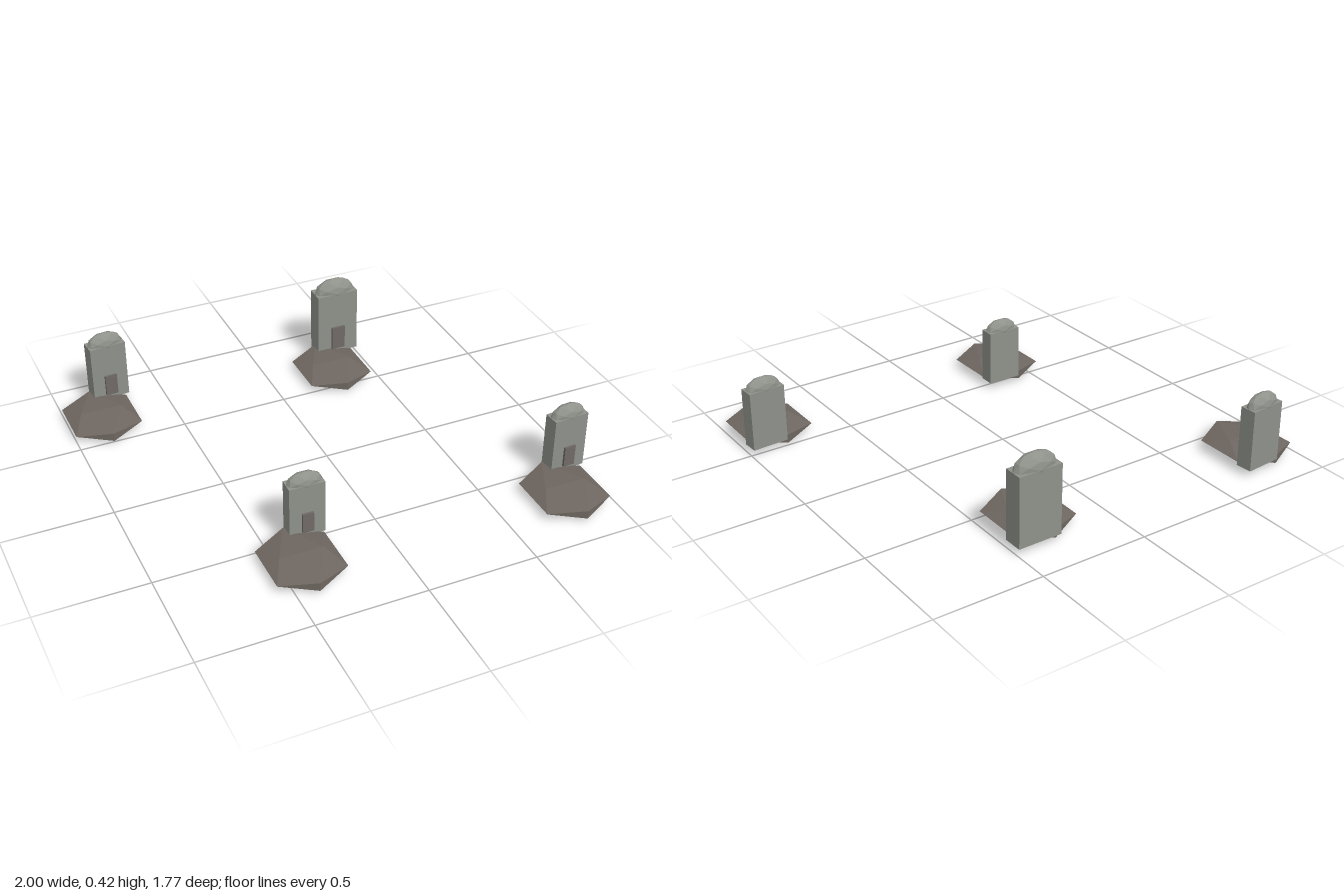
import * as THREE from 'three';

const flat = (name, color) => {
  const m = new THREE.MeshStandardMaterial({ color, flatShading: true });
  m.name = name;
  return m;
};

export function createModel() {
  const stone = flat('weathered stone', 0x8e928a);
  const earth = flat('packed earth', 0x6f6761);
  const plate = flat('dark plaque', 0x706a66);

  const part = (name, geometry, material, parent, x, y, z) => {
    const mesh = new THREE.Mesh(geometry, material);
    mesh.name = name;
    mesh.position.set(x, y, z);
    parent.add(mesh);
    return mesh;
  };

  // mound centre, stone centre, stone width / depth / top, cap rise, yaw, plaque width / top
  const graves = [
    { mound: [-0.843, -0.68], at: [-0.755, -0.845], w: 0.173, d: 0.076, top: 0.315, rise: 0.056, yaw: 0.09, pw: 0.058, pt: 0.16 },
    { mound: [0.306, -0.625], at: [0.394, -0.789], w: 0.206, d: 0.09, top: 0.355, rise: 0.066, yaw: 0.005, pw: 0.067, pt: 0.175 },
    { mound: [-0.405, 0.645], at: [-0.319, 0.481], w: 0.161, d: 0.07, top: 0.288, rise: 0.05, yaw: -0.02, pw: 0.051, pt: 0.152 },
    { mound: [0.82, 0.69], at: [0.91, 0.525], w: 0.169, d: 0.074, top: 0.305, rise: 0.052, yaw: 0.06, pw: 0.055, pt: 0.156 },
  ];

  const base = 0.032, plaqueBase = 0.057;
  const root = new THREE.Group();
  root.name = 'graves';

  for (const g of graves) {
    const grave = new THREE.Group();
    grave.name = 'grave';
    root.add(grave);

    // low faceted earth mound
    part('mound', new THREE.IcosahedronGeometry(1, 0).scale(0.1845, 0.0382, 0.2262),
      earth, grave, g.mound[0], 0.0325, g.mound[1]);

    // upright stone with a rounded cap and a raised plaque
    const headstone = new THREE.Group();
    headstone.name = 'headstone';
    headstone.position.set(g.at[0], 0, g.at[1]);
    headstone.rotation.y = g.yaw;
    grave.add(headstone);

    const h = g.top - base, ph = g.pt - plaqueBase;
    part('slab', new THREE.BoxGeometry(g.w, h, g.d), stone, headstone, 0, base + h / 2, 0);
    part('cap', new THREE.IcosahedronGeometry(1, 1).scale(g.w / 2, g.rise, g.d / 2 + 0.002),
      stone, headstone, 0, g.top, 0);
    part('plaque', new THREE.BoxGeometry(g.pw, ph, 0.018), plate, headstone,
      0, plaqueBase + ph / 2, g.d / 2 + 0.002);
  }
  return root;
}
